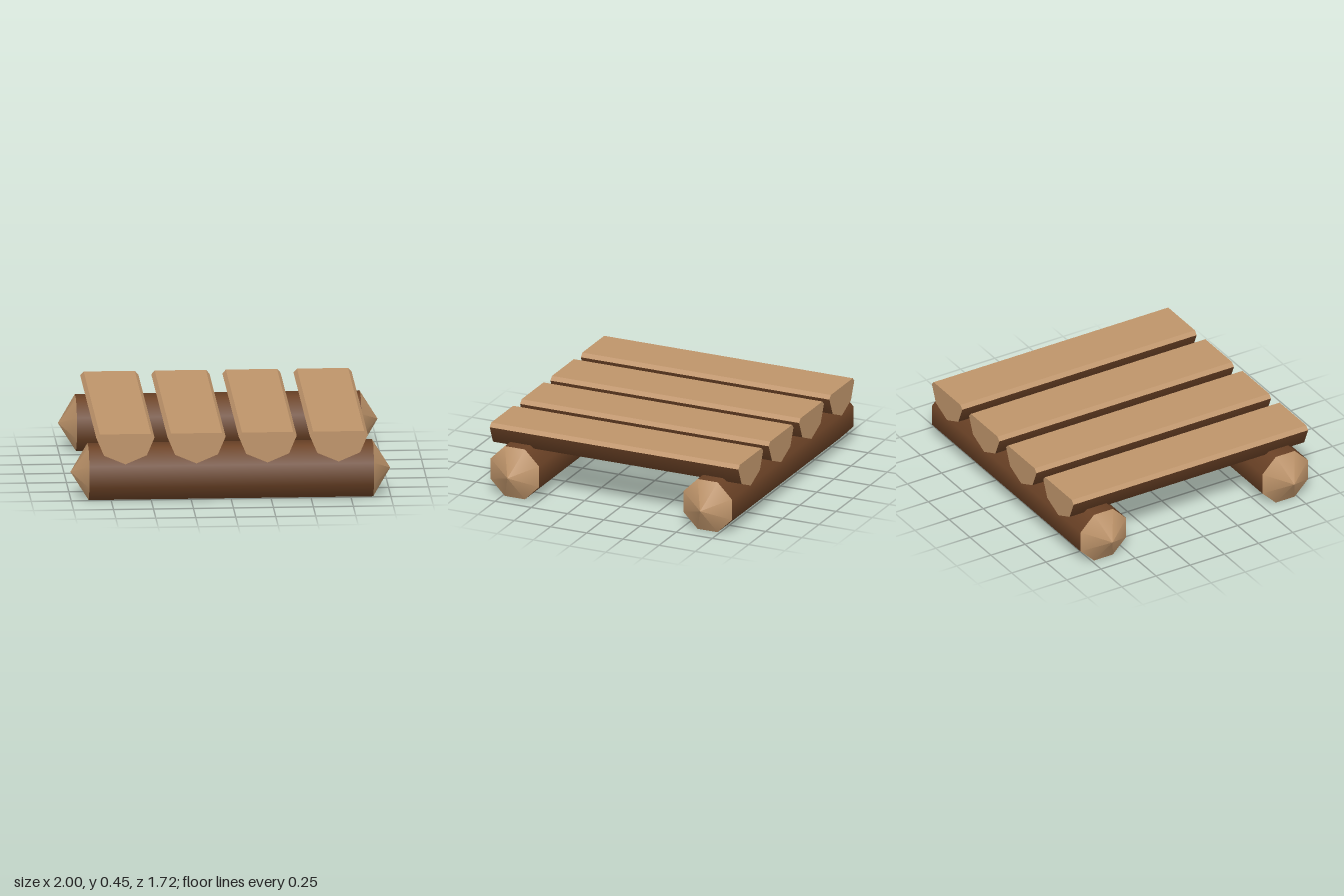
import * as THREE from 'three';

const HALF_LENGTH = 0.858; // half the plank length along z

// Strip swept along z from a left-to-right profile, facing down when the profile sags.
function ribbon(points, smooth) {
  const positions = [], index = [];
  points.forEach(([x, y], i) => {
    positions.push(x, y, HALF_LENGTH, x, y, -HALF_LENGTH);
    if (i > 0) {
      const a = 2 * (i - 1);
      index.push(a, a + 1, a + 2, a + 1, a + 3, a + 2);
    }
  });
  let geometry = new THREE.BufferGeometry();
  geometry.setAttribute('position', new THREE.Float32BufferAttribute(positions, 3));
  geometry.setIndex(index);
  if (!smooth) geometry = geometry.toNonIndexed();
  geometry.computeVertexNormals();
  return geometry;
}

export function createModel() {
  const group = new THREE.Group();
  const bark = new THREE.MeshStandardMaterial({ color: 0x6b4226 });
  bark.name = 'bark';
  const cutWood = new THREE.MeshStandardMaterial({ color: 0xbe946a });
  cutWood.name = 'cutWood';

  function add(parent, name, geometry, material) {
    const mesh = new THREE.Mesh(geometry, material);
    mesh.name = name;
    parent.add(mesh);
    return mesh;
  }

  // Two octagonal cross logs with pointed ends
  const apothem = 0.167, radius = apothem / Math.cos(Math.PI / 8);
  const logBody = new THREE.CylinderGeometry(radius, radius, 1.78, 8, 1, true, Math.PI / 8);
  const logTip = new THREE.ConeGeometry(radius, 0.11, 8, 1, true, Math.PI / 8);
  logTip.translate(0, 0.945, 0);
  for (const side of [1, -1]) {
    const log = new THREE.Group();
    log.name = side > 0 ? 'frontLog' : 'backLog';
    log.position.set(0, apothem, side * 0.665);
    add(log, 'logBark', logBody, bark).rotation.z = -Math.PI / 2;
    for (const end of [1, -1]) {
      add(log, end > 0 ? 'leftLogTip' : 'rightLogTip', logTip, cutWood).rotation.z = -end * Math.PI / 2;
    }
    group.add(log);
  }

  // Four split-log planks: rounded bark underside, flat top with bevelled edges
  const under = [[-0.182, 0.425], [-0.134, 0.312], [0, 0.255], [0.134, 0.312], [0.182, 0.425]];
  const top = [[0.182, 0.425], [0.16, 0.449], [-0.16, 0.449], [-0.182, 0.425]];
  const underside = ribbon(under, true);
  const deck = ribbon(top, false);
  const outline = [...under, top[1], top[2]].map(([x, y]) => new THREE.Vector2(x, y));
  const endFace = new THREE.ShapeGeometry(new THREE.Shape(outline));
  for (let i = 0; i < 4; i++) {
    const plank = new THREE.Group();
    plank.name = `plank${i + 1}`;
    plank.position.x = (i - 1.5) * 0.4447;
    add(plank, 'plankBark', underside, bark);
    add(plank, 'plankTop', deck, cutWood);
    add(plank, 'plankFrontEnd', endFace, cutWood).position.z = HALF_LENGTH;
    const back = add(plank, 'plankBackEnd', endFace, cutWood);
    back.position.z = -HALF_LENGTH;
    back.rotation.y = Math.PI;
    group.add(plank);
  }
  return group;
}
